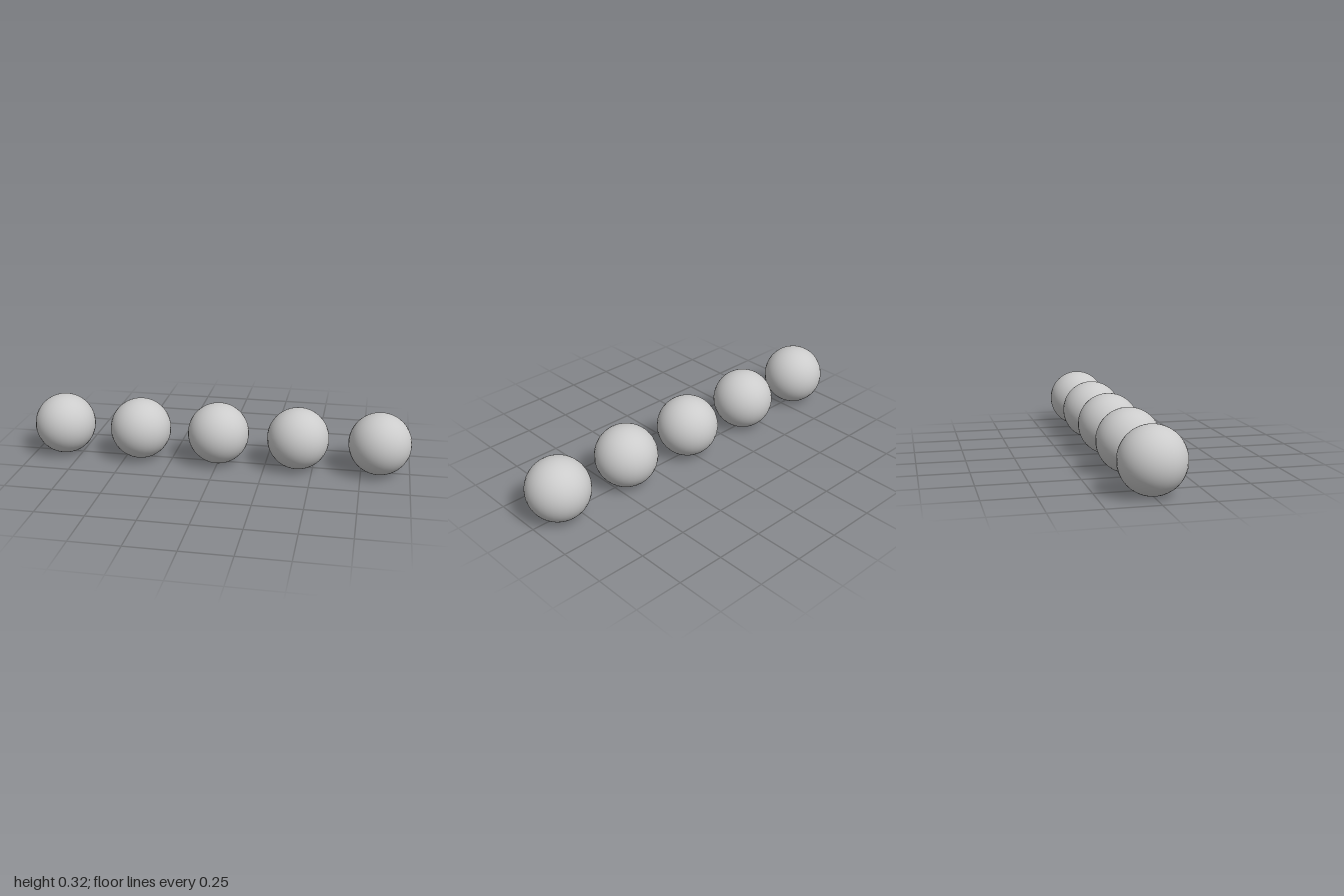
import * as THREE from 'three';

const RADIUS = 0.1605;
const SPACING = 0.41975;
const COUNT = 5;

export function createModel() {
  const model = new THREE.Group();
  model.name = 'ballRow';

  const material = new THREE.MeshStandardMaterial({ color: 0xcccccc });
  const geometry = new THREE.SphereGeometry(RADIUS, 32, 32);

  // Row of equal, evenly spaced balls resting on the ground
  for (let i = 0; i < COUNT; i++) {
    const ball = new THREE.Mesh(geometry, material);
    ball.name = `ball${i + 1}`;
    ball.position.set((i - (COUNT - 1) / 2) * SPACING, RADIUS, 0);
    model.add(ball);
  }

  return model;
}
